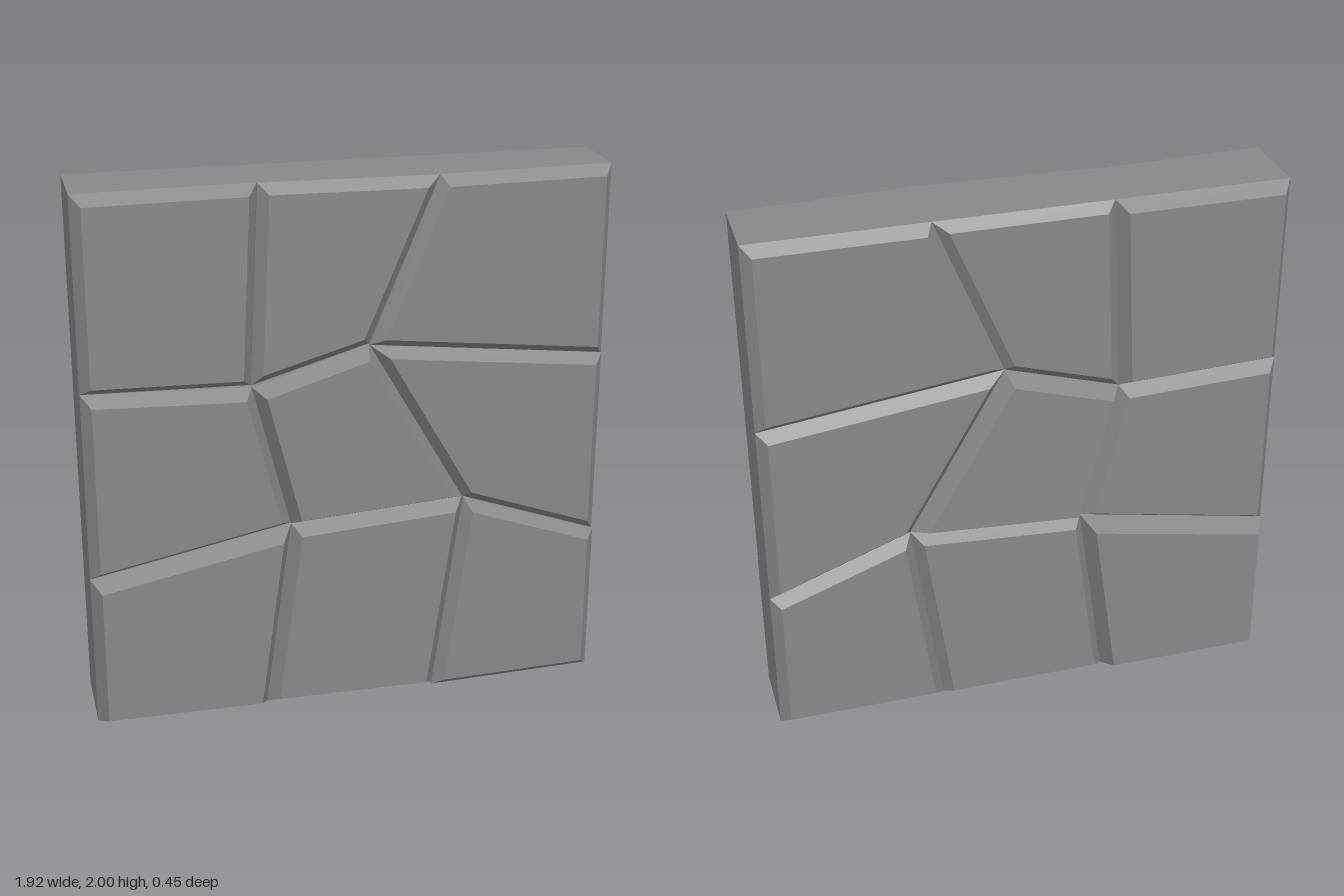
import * as THREE from 'three';

// Corner grid of the slab seams, rows from bottom to top
const corners = [
  [[-0.96, 0], [-0.32, 0], [0.32, 0], [0.96, 0]],
  [[-0.96, 0.58], [-0.22, 0.73], [0.43, 0.775], [0.96, 0.58]],
  [[-0.96, 1.29], [-0.355, 1.27], [0.07, 1.40], [0.96, 1.29]],
  [[-0.96, 2], [-0.32, 2], [0.32, 2], [0.96, 2]],
];

// Per stone: front face z, front bevel-edge z, sideways tilt, back face z
const stones = [
  [[0.224, 0.147, 0, -0.224], [0.208, 0.145, 0, -0.195], [0.191, 0.147, -0.05, -0.19]],
  [[0.20, 0.14, 0, -0.195], [0.219, 0.148, 0, -0.217], [0.184, 0.137, -0.045, -0.19]],
  [[0.187, 0.13, -0.035, -0.199], [0.18, 0.135, 0.035, -0.18], [0.186, 0.135, -0.045, -0.187]],
];
const names = [['bottom', 'middle', 'top'], ['Left', 'Center', 'Right']];
const BACK_EDGE = -0.145;
const INSET = 0.035;

// Shrinks a counter-clockwise polygon with mitred corners
function insetPolygon(points, d) {
  return points.map((p, i) => {
    const a = points[(i + points.length - 1) % points.length];
    const b = points[(i + 1) % points.length];
    const u = p.clone().sub(a).normalize();
    const v = b.clone().sub(p).normalize();
    const k = d / u.cross(v);
    return p.clone().addScaledVector(v, k).addScaledVector(u, -k);
  });
}

// Closed stone block lofted through four rings: back face, back edge, front edge, front face
function stoneGeometry(outer, [front, edge, tilt, back]) {
  const inner = insetPolygon(outer, INSET);
  const cx = outer.reduce((s, p) => s + p.x, 0) / outer.length;
  const ring = (pts, z, slope) => pts.map((p) => [p.x, p.y, z + slope * (p.x - cx)]);
  const rings = [
    ring(inner, back, 0),
    ring(outer, BACK_EDGE, 0),
    ring(outer, edge, tilt),
    ring(inner, front, tilt),
  ];
  const position = [];
  const quad = (a, b, c, d) => position.push(...a, ...b, ...c, ...a, ...c, ...d);
  for (let r = 0; r < 3; r++) {
    for (let i = 0; i < 4; i++) {
      const j = (i + 1) % 4;
      quad(rings[r][i], rings[r][j], rings[r + 1][j], rings[r + 1][i]);
    }
  }
  quad(...rings[3]);
  quad(...rings[0].slice().reverse());
  const geometry = new THREE.BufferGeometry();
  geometry.setAttribute('position', new THREE.Float32BufferAttribute(position, 3));
  geometry.computeVertexNormals();
  return geometry;
}

export function createModel() {
  const group = new THREE.Group();
  group.name = 'stoneWallPanel';
  const material = new THREE.MeshStandardMaterial({ color: 0x888888, flatShading: true });

  // Three rows of three interlocking bevelled stones
  for (let row = 0; row < 3; row++) {
    for (let col = 0; col < 3; col++) {
      const outer = [
        corners[row][col], corners[row][col + 1],
        corners[row + 1][col + 1], corners[row + 1][col],
      ].map(([x, y]) => new THREE.Vector2(x, y));
      const stone = new THREE.Mesh(stoneGeometry(outer, stones[row][col]), material);
      // Model's own left is +x
      stone.name = names[0][row] + names[1][2 - col] + 'Stone';
      group.add(stone);
    }
  }
  return group;
}
